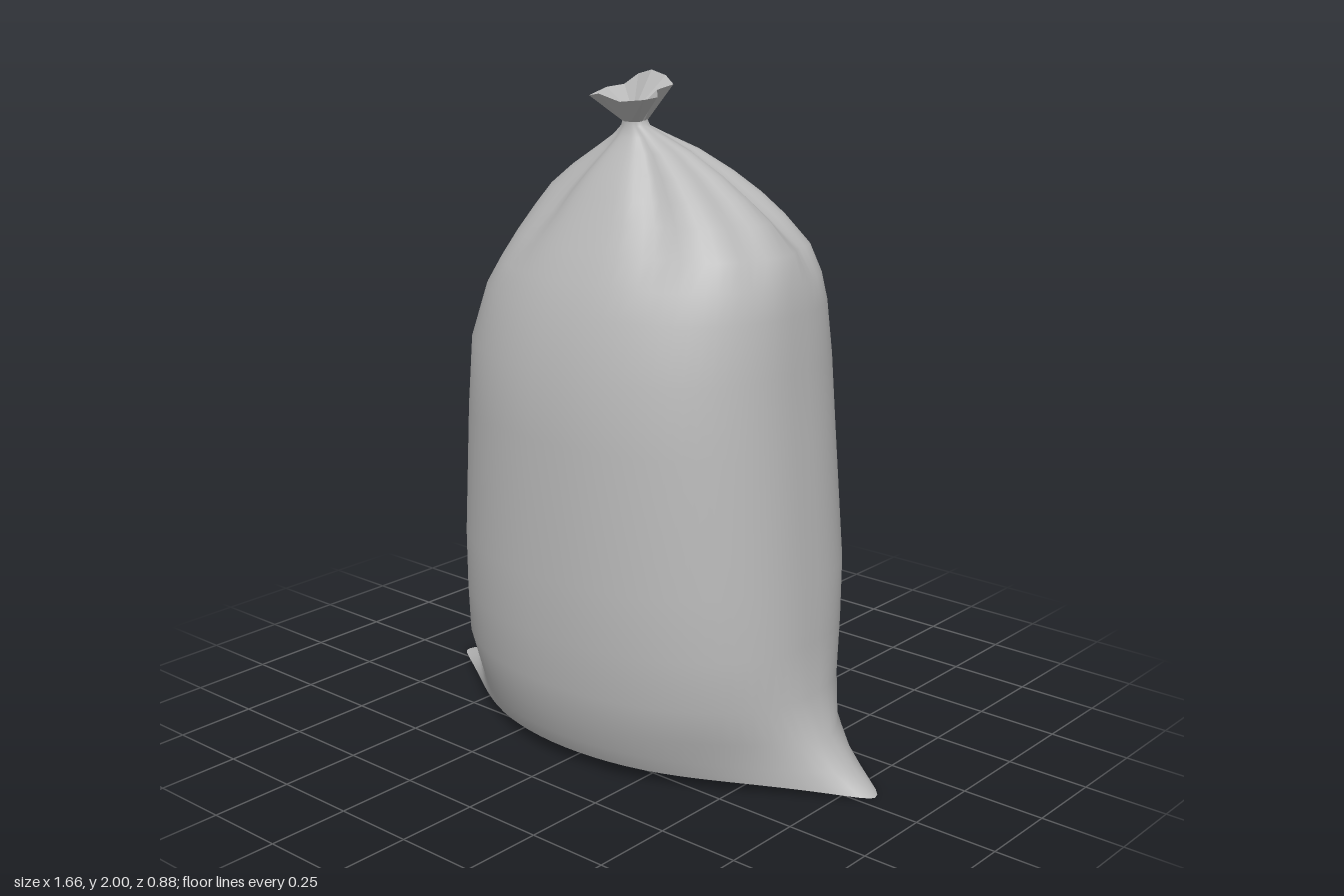
import * as THREE from 'three';

const SEG = 72;
const { smoothstep, degToRad } = THREE.MathUtils;

// Cross-sections of the sack: y, left and right half widths (-x, +x), back z, front z
const SECTIONS = [
  [0.03, 0.63, 0.63, -0.41, 0.355],
  [0.05, 0.625, 0.63, -0.415, 0.365],
  [0.085, 0.615, 0.625, -0.415, 0.38],
  [0.16, 0.61, 0.625, -0.41, 0.405],
  [0.27, 0.605, 0.63, -0.41, 0.43],
  [0.42, 0.60, 0.615, -0.425, 0.44],
  [0.60, 0.595, 0.60, -0.44, 0.445],
  [1.00, 0.58, 0.555, -0.44, 0.43],
  [1.20, 0.575, 0.535, -0.435, 0.41],
  [1.36, 0.535, 0.52, -0.41, 0.36],
  [1.44, 0.49, 0.505, -0.39, 0.325],
  [1.52, 0.44, 0.48, -0.36, 0.285],
  [1.60, 0.385, 0.41, -0.315, 0.235],
  [1.66, 0.335, 0.34, -0.275, 0.20],
  [1.72, 0.255, 0.26, -0.215, 0.16],
  [1.78, 0.155, 0.165, -0.135, 0.115],
  [1.82, 0.085, 0.09, -0.055, 0.085],
  [1.85, 0.042, 0.045, 0.005, 0.075],
  [1.87, 0.035, 0.04, 0.015, 0.075],
];

// Gathered folds: direction in degrees, strength
const FOLDS = [[-18, 1], [-65, 0.8], [-118, 0.9], [-165, 1], [123, 0.7], [58, 0.7], [16, 0.5]];

function foldAt(t) {
  return FOLDS.reduce((sum, [deg, strength]) => {
    const a = t - degToRad(deg);
    const d = Math.atan2(Math.sin(a), Math.cos(a));
    return sum + strength * Math.exp(-((d / 0.18) ** 2));
  }, 0);
}

const power = (v, e) => Math.sign(v) * Math.abs(v) ** e;

// One loop of the sack: a squarish oval with pinched corner ears below and folds above
function ring([y, left, right, back, front]) {
  const pts = [];
  const zc = (back + front) / 2, zr = (front - back) / 2;
  const low = Math.max(0, 1 - (y - 0.03) / 0.24);
  const square = 0.6 * smoothstep(y, 0, 0.6) * (1 - smoothstep(y, 1.4, 1.8));
  const fold = 0.19 * smoothstep(y, 1.38, 1.74) * (1 - smoothstep(y, 1.76, 1.87));
  for (let i = 0; i < SEG; i++) {
    const t = (i / SEG) * Math.PI * 2;
    const c = Math.cos(t), s = Math.sin(t);
    const e = 2 / (s > 0 ? 2 + 0.25 * square : 2.15 + square);
    const k = 1 - fold * foldAt(t);
    const corner = c ** 6;
    const ear = 0.2 * low ** (c > 0 ? 1.8 : 4);
    const pinch = 1 - 0.5 * low * corner;
    const x = power(c, e) * (c > 0 ? right : left) * k + Math.sign(c) * ear * corner;
    const z = zc + power(s, e) * zr * k * pinch - 0.02 * low * c * c;
    // The lower edge sags to the corners and lifts in the front
    const lift = low * (0.01 * Math.max(0, s) - 0.03 * corner);
    pts.push(x, y + lift, z);
  }
  return pts;
}

function surface(positions, index) {
  const g = new THREE.BufferGeometry();
  g.setAttribute('position', new THREE.Float32BufferAttribute(positions, 3));
  if (index) g.setIndex(index);
  g.computeVertexNormals();
  return g;
}

function sackBody() {
  const index = [];
  for (let j = 0; j < SECTIONS.length - 1; j++) {
    for (let i = 0; i < SEG; i++) {
      const a = j * SEG + i, b = j * SEG + (i + 1) % SEG;
      index.push(a, a + SEG, b, b, a + SEG, b + SEG);
    }
  }
  return surface(SECTIONS.flatMap(ring), index);
}

function sackBase() {
  const index = [];
  for (let i = 0; i < SEG; i++) index.push(SEG, i, (i + 1) % SEG);
  return surface([...ring(SECTIONS[0]), 0, 0.03, -0.03], index);
}

// Rim of the gathered mouth, running from the left side through the front
const RIM = [
  [0.09, 1.955, 0.05], [0.125, 1.94, 0.09], [0.11, 1.935, 0.13], [0.03, 1.925, 0.14],
  [-0.03, 1.945, 0.16], [-0.085, 1.935, 0.14], [-0.1, 1.95, 0.05], [-0.085, 1.955, -0.01],
  [-0.05, 1.985, -0.03], [0.005, 2.0, -0.025], [0.06, 1.988, -0.022], [0.09, 1.965, -0.02],
];
const nextOnRim = (i) => RIM[(i + 1) % RIM.length];

// Faceted outside of the mouth, from the tied neck out to the rim
function gatheredMouth() {
  const neck = ([x, , z]) => {
    const a = Math.atan2(z - 0.045, x);
    return [0.002 + 0.037 * Math.cos(a), 1.862, 0.045 + 0.031 * Math.sin(a)];
  };
  return surface(RIM.flatMap((p, i) => {
    const q = nextOnRim(i), a = neck(p), b = neck(q);
    return [...a, ...p, ...b, ...b, ...p, ...q];
  }));
}

// Faceted inside of the mouth, meeting at one point
function mouthInside() {
  return surface(RIM.flatMap((p, i) => [...p, 0.005, 1.885, 0.055, ...nextOnRim(i)]));
}

export function createModel() {
  const group = new THREE.Group();
  group.name = 'tiedSack';
  const cloth = new THREE.MeshStandardMaterial({ color: 0xb8b8b8, side: THREE.DoubleSide });
  cloth.name = 'grey cloth';
  const parts = {
    sackBody: sackBody(),
    sackBase: sackBase(),
    gatheredMouth: gatheredMouth(),
    mouthInside: mouthInside(),
  };
  for (const [name, geometry] of Object.entries(parts)) {
    const mesh = new THREE.Mesh(geometry, cloth);
    mesh.name = name;
    group.add(mesh);
  }
  return group;
}
